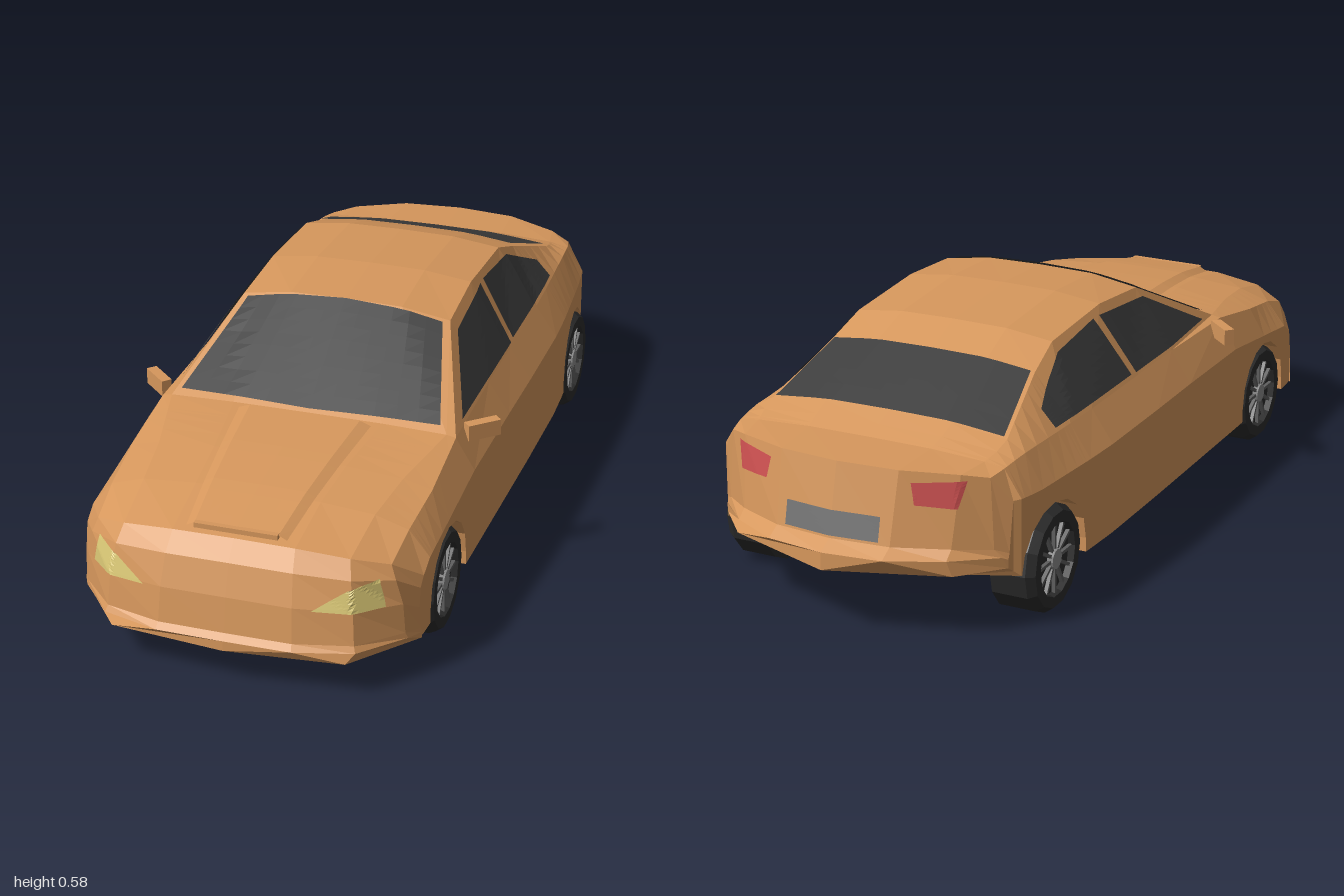
import * as THREE from 'three';

const mat = (name, color) => new THREE.MeshStandardMaterial({ name, color, side: THREE.DoubleSide, flatShading: true });
const paint = mat('copper paint', 0xd6975c);
const glass = mat('dark glass', 0x3c3c3c);
const rubber = mat('tyre rubber', 0x2c2c2c);
const alloy = mat('spoke alloy', 0x606060);
const hubMetal = mat('hub metal', 0x8e8e8e);
const lamp = mat('headlight yellow', 0xd8c674);
const red = mat('tail light red', 0xcc5050);
const grey = mat('plate grey', 0x727272);

const WHEELS = [0.6, -0.63];
const ARCH = 0.14;

// body stations: z, half width, floor y, belt x, belt y, roof edge x, roof edge y, centre top y
const ROWS = [
  [1.0, 0.41, 0.095, 0.39, 0.115, 0.30, 0.12, 0.12],
  [0.988, 0.408, 0.095, 0.385, 0.13, 0.295, 0.135, 0.135],
  [0.975, 0.405, 0.095, 0.38, 0.205, 0.29, 0.215, 0.22],
  [0.95, 0.405, 0.095, 0.365, 0.268, 0.28, 0.285, 0.295],
  [0.915, 0.408, 0.095, 0.352, 0.302, 0.27, 0.325, 0.34],
  [0.75, 0.41, 0.095, 0.36, 0.335, 0.28, 0.36, 0.372],
  [0.6, 0.412, 0.095, 0.37, 0.36, 0.30, 0.378, 0.39],
  [0.4, 0.415, 0.095, 0.368, 0.395, 0.345, 0.40, 0.405],
  [0.1, 0.418, 0.095, 0.365, 0.40, 0.265, 0.55, 0.572],
  [-0.1, 0.42, 0.095, 0.365, 0.40, 0.26, 0.566, 0.583],
  [-0.36, 0.42, 0.095, 0.365, 0.40, 0.26, 0.55, 0.567],
  [-0.47, 0.415, 0.095, 0.362, 0.40, 0.27, 0.51, 0.527],
  [-0.7, 0.397, 0.095, 0.352, 0.40, 0.31, 0.418, 0.435],
  [-0.772, 0.388, 0.14, 0.345, 0.392, 0.295, 0.40, 0.408],
  [-0.92, 0.375, 0.155, 0.335, 0.385, 0.28, 0.395, 0.402],
  [-0.96, 0.37, 0.163, 0.345, 0.215, 0.27, 0.225, 0.23],
  [-1.0, 0.37, 0.167, 0.36, 0.195, 0.27, 0.205, 0.21],
];

// linear blend of the station table at any z
function rowAt(z) {
  let i = 0;
  while (i < ROWS.length - 2 && ROWS[i + 1][0] > z) i++;
  const a = ROWS[i], b = ROWS[i + 1], t = (a[0] - z) / (a[0] - b[0]);
  return a.map((v, k) => v + (b[k] - v) * t);
}

// rounds the nose and tail in plan
function bend(x, z) {
  x = Math.abs(x);
  if (z > 0.75) return z - 0.68 * (z - 0.75) * (x / 0.4) ** 5;
  if (z < -0.772) return z + 0.87 * (-0.772 - z) * (x / 0.37) ** 2.5;
  return z;
}

// closed ring of points; lower edge rises to archY over the wheels
function ring(z, archY) {
  const [, w, floor, bx, by, ex, ey, top] = rowAt(z);
  const low = Math.max(floor, archY);
  const half = [
    [0, floor], [0.28, floor], [0.28, low], [w, low], [w, floor + (by - floor) * 0.74],
    [bx, by], [ex, ey], [ex * 0.54, top - (top - ey) * 0.12], [0, top],
  ];
  const mirrored = half.slice(1, 8).reverse().map(([x, y]) => [-x, y]);
  return [...half, ...mirrored].flatMap(([x, y]) => [x, y, bend(x, z)]);
}

function bodyGeometry() {
  const stations = ROWS.filter(r => WHEELS.every(c => Math.abs(r[0] - c) > ARCH)).map(r => [r[0], 0]);
  for (const c of WHEELS) {
    stations.push([c + ARCH + 0.001, 0], [c - ARCH - 0.001, 0]);
    for (let k = 0; k <= 8; k++) {
      const a = k * Math.PI / 8;
      stations.push([c + ARCH * Math.cos(a), 0.13 + ARCH * Math.sin(a)]);
    }
  }
  stations.sort((a, b) => b[0] - a[0]);
  const pos = stations.flatMap(([z, y]) => ring(z, y));
  const n = 16, index = [];
  for (let j = 0; j < stations.length - 1; j++)
    for (let i = 0; i < n; i++) {
      const a = j * n + i, b = j * n + (i + 1) % n, c = b + n, d = a + n;
      index.push(a, d, c, a, c, b);
    }
  // nose and tail caps
  for (const [o, flip] of [[0, false], [(stations.length - 1) * n, true]])
    for (const q of [[0, 1, 7, 8], [1, 3, 6, 7], [3, 4, 5, 6], [15, 0, 8, 9], [13, 15, 9, 10], [12, 13, 10, 11]]) {
      const [a, b, c, d] = (flip ? q.slice().reverse() : q).map(v => v + o);
      index.push(a, b, c, a, c, d);
    }
  return makeGeometry(pos, index);
}

function makeGeometry(pos, index) {
  let g = new THREE.BufferGeometry();
  g.setAttribute('position', new THREE.Float32BufferAttribute(pos, 3));
  g.setIndex(index);
  g = g.toNonIndexed();
  g.computeVertexNormals();
  return g;
}

// point along a polyline, t from 0 to 1
function along(line, t) {
  const s = t * (line.length - 1), i = Math.min(Math.floor(s), line.length - 2), f = s - i;
  return line[i].map((v, k) => v + (line[i + 1][k] - v) * f);
}

// thin panel between two polylines, laid on the body from one direction
const LAY = {
  top: { from: (x, z) => [x, 2, z], dir: [0, -1, 0] },
  front: { from: (x, y) => [x, y, 2], dir: [0, 0, -1] },
  back: { from: (x, y) => [x, y, -2], dir: [0, 0, 1] },
  left: { from: (z, y) => [2, y, z], dir: [-1, 0, 0] },
  right: { from: (z, y) => [-2, y, z], dir: [1, 0, 0] },
};
function panel(body, name, material, side, lower, upper, lift = () => 0.006, nu = 12, nv = 8) {
  const { from, dir } = LAY[side], d = new THREE.Vector3(...dir);
  const ray = new THREE.Raycaster(), pos = [], index = [];
  for (let j = 0; j <= nv; j++)
    for (let i = 0; i <= nu; i++) {
      const u = i / nu, v = j / nv;
      const [p, q] = along([along(lower, u), along(upper, u)], v);
      ray.set(new THREE.Vector3(...from(p, q)), d);
      const hit = ray.intersectObject(body)[0];
      const point = hit ? hit.point : new THREE.Vector3(...from(p, q)).addScaledVector(d, 1.6);
      pos.push(...point.addScaledVector(d, -lift(u, v)).toArray());
      if (i < nu && j < nv) {
        const a = j * (nu + 1) + i, b = a + 1, c = b + nu + 1, e = a + nu + 1;
        index.push(a, b, c, a, c, e);
      }
    }
  const mesh = new THREE.Mesh(makeGeometry(pos, index), material);
  mesh.name = name;
  return mesh;
}

function part(name, geometry, material, x = 0, y = 0, z = 0) {
  const m = new THREE.Mesh(geometry, material);
  m.name = name;
  m.position.set(x, y, z);
  return m;
}

// wheel lying flat, outer face up
function wheel() {
  const g = new THREE.Group();
  g.name = 'wheel';
  const profile = [[0, -0.055], [0.13, -0.055], [0.13, 0.035], [0.116, 0.055], [0.09, 0.055], [0.085, 0.04], [0, 0.04]];
  g.add(part('tyre', new THREE.LatheGeometry(profile.map(p => new THREE.Vector2(...p)), 14), rubber));
  for (let k = 0; k < 12; k++) {
    const spoke = part('spoke', new THREE.BoxGeometry(0.066, 0.01, 0.008).translate(0.052, 0, 0), alloy, 0, 0.044, 0);
    spoke.rotation.y = k * Math.PI / 6;
    g.add(spoke);
  }
  g.add(part('hub', new THREE.CylinderGeometry(0.024, 0.03, 0.014, 12), hubMetal, 0, 0.046, 0));
  return g;
}

export function createModel() {
  const car = new THREE.Group();
  car.name = 'car';
  const body = part('body', bodyGeometry(), paint);
  car.add(body);

  // windscreen and rear window
  car.add(panel(body, 'windscreen', glass, 'top', [[-0.325, 0.385], [0, 0.395], [0.325, 0.385]], [[-0.25, 0.115], [0, 0.105], [0.25, 0.115]]));
  car.add(panel(body, 'rearWindow', glass, 'top', [[-0.3, -0.685], [0.3, -0.685]], [[-0.262, -0.475], [0.262, -0.475]]));

  for (const s of [1, -1]) {
    const side = s > 0 ? 'left' : 'right';
    // side windows
    car.add(panel(body, 'frontSideWindow', glass, side, [[0.33, 0.41], [0.11, 0.41], [-0.11, 0.41]], [[0.3, 0.425], [0.1, 0.53], [-0.135, 0.55]]));
    car.add(panel(body, 'rearSideWindow', glass, side, [[-0.135, 0.412], [-0.34, 0.412], [-0.535, 0.41]], [[-0.165, 0.55], [-0.37, 0.53], [-0.535, 0.45]]));
    // lights
    car.add(panel(body, 'headlight', lamp, 'front', [[s * 0.2, 0.217], [s * 0.35, 0.212]], [[s * 0.275, 0.265], [s * 0.335, 0.28]]));
    car.add(panel(body, 'tailLight', red, 'back', [[s * 0.19, 0.325], [s * 0.28, 0.318]], [[s * 0.18, 0.375], [s * 0.295, 0.382]]));
    // door mirror
    const mirror = part('mirror', new THREE.BoxGeometry(0.085, 0.04, 0.026), paint, s * 0.41, 0.387, 0.318);
    mirror.rotation.y = s * 0.75;
    car.add(mirror);
    // wheels
    for (const z of WHEELS) {
      const w = wheel();
      w.position.set(s * 0.355, 0.13, z);
      w.rotation.z = -s * Math.PI / 2;
      car.add(w);
    }
  }

  // number plate
  car.add(panel(body, 'numberPlate', grey, 'back', [[-0.12, 0.238], [0.12, 0.238]], [[-0.12, 0.295], [0.12, 0.295]]));

  // raised bonnet panel with scoop lip
  const rise = u => (u < 0.05 || u > 0.95 ? 0.001 : 0.011);
  car.add(panel(body, 'bonnetScoop', paint, 'top', [[-0.12, 0.895], [0.12, 0.895]], [[-0.165, 0.42], [0.165, 0.42]], rise, 12, 12));
  car.add(part('scoopLip', new THREE.BoxGeometry(0.2, 0.012, 0.014), paint, 0, 0.35, 0.895));
  return car;
}
